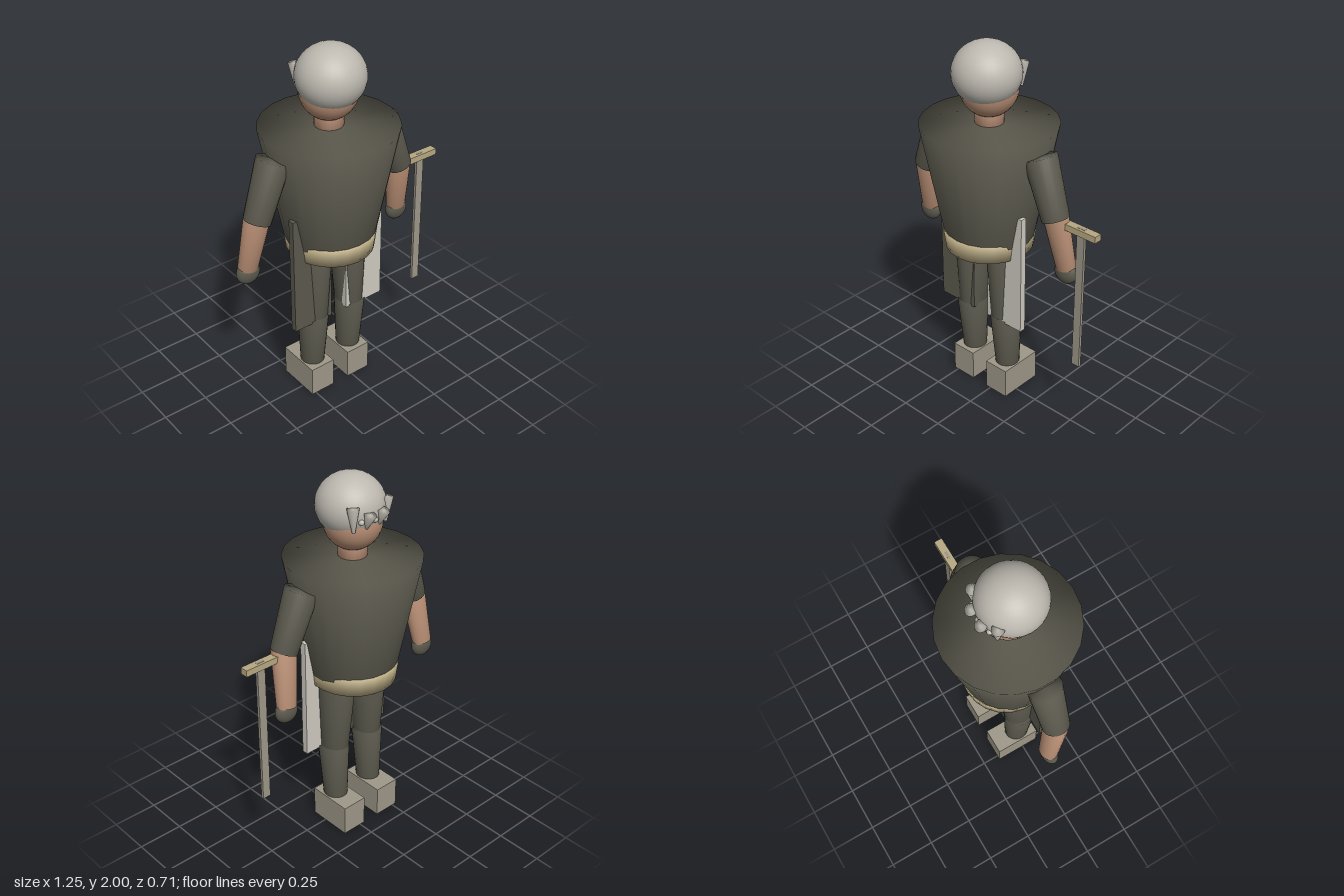
import * as THREE from 'three';
import { mergeVertices } from 'three/addons/utils/BufferGeometryUtils.js';

const CENTRE = -0.08; // middle line of the figure; the cane stands to its left
const material = color => new THREE.MeshStandardMaterial({ color });
const cloth = material(0x5c5a4e);
const skin = material(0xb98f75);
const tan = material(0xb8a982);
const leather = material(0x9e9888);
const hair = material(0xbdb9b0);
const pale = material(0xd0ccc2);

export function createModel() {
  const root = new THREE.Group();
  root.name = 'figure';
  const body = new THREE.Group();
  body.name = 'body';
  body.position.x = CENTRE;
  root.add(body);

  const add = (parent, name, geometry, mat, position) => {
    const mesh = new THREE.Mesh(geometry, mat);
    mesh.name = name;
    mesh.position.set(...position);
    parent.add(mesh);
    return mesh;
  };

  // Tapered round part running from point a (radius ra) to point b (radius rb)
  const taper = (name, mat, a, b, ra, rb, { scaleX = 1, scaleZ = 1, sides = 22 } = {}) => {
    const from = new THREE.Vector3(...a), to = new THREE.Vector3(...b);
    const axis = from.clone().sub(to);
    let geometry = new THREE.CylinderGeometry(ra, rb, axis.length(), sides);
    geometry.deleteAttribute('normal');
    geometry.deleteAttribute('uv');
    geometry = mergeVertices(geometry);
    geometry.scale(scaleX, 1, scaleZ);
    geometry.computeVertexNormals();
    const mesh = add(body, name, geometry, mat, from.add(to).multiplyScalar(0.5).toArray());
    mesh.quaternion.setFromUnitVectors(new THREE.Vector3(0, 1, 0), axis.normalize());
    return mesh;
  };

  const ball = (name, mat, position, radii) => {
    const mesh = add(body, name, new THREE.SphereGeometry(1, 32, 20), mat, position);
    mesh.scale.set(...radii);
    return mesh;
  };

  const box = (parent, name, mat, size, position) =>
    add(parent, name, new THREE.BoxGeometry(...size), mat, position);

  // Torso, belt, neck and head
  taper('torso', cloth, [0, 1.575, 0], [0, 0.9, 0], 0.354, 0.226);
  taper('belt', tan, [0, 0.99, 0], [0, 0.885, 0], 0.25, 0.237, { scaleX: 0.96 });
  taper('neck', skin, [0, 1.68, 0], [0, 1.56, 0], 0.074, 0.074);
  ball('head', skin, [0, 1.765, 0], [0.149, 0.155, 0.151]);
  ball('hairCap', hair, [0, 1.837, 0.0165], [0.176, 0.163, 0.176]);

  // Flared hair tufts with small beads between them
  for (const side of [-1, 1]) {
    taper('outerTuft', hair, [side * 0.112, 1.885, -0.12], [side * 0.105, 1.76, -0.118], 0.031, 0.008, { sides: 16 });
    taper('innerTuft', hair, [side * 0.044, 1.848, -0.168], [side * 0.042, 1.772, -0.138], 0.031, 0.008, { sides: 16 });
    ball('hairBead', hair, [side * 0.075, 1.81, -0.14], [0.015, 0.015, 0.015]);
  }
  ball('hairBead', hair, [0, 1.81, -0.155], [0.015, 0.015, 0.015]);

  // Limbs and coat panels, mirrored about the middle line
  for (const side of [-1, 1]) {
    const label = side > 0 ? 'left' : 'right';

    taper(label + 'UpperArm', cloth, [side * 0.333, 1.493, 0], [side * 0.446, 1.195, 0.008], 0.087, 0.071);
    taper(label + 'Forearm', skin, [side * 0.448, 1.205, 0.008], [side * 0.481, 0.91, -0.042], 0.071, 0.056, { scaleZ: 0.82 });
    ball(label + 'Hand', cloth, [side * 0.483, 0.885, -0.04], [0.066, 0.066, 0.042]);

    taper(label + 'Thigh', cloth, [side * 0.11, 0.93, 0], [side * 0.117, 0.487, 0.008], 0.097, 0.071, { scaleZ: 1.18 });
    taper(label + 'Shin', cloth, [side * 0.122, 0.487, 0.01], [side * 0.122, 0.16, -0.005], 0.082, 0.063, { scaleZ: 1.07 });
    box(body, label + 'Boot', leather, [0.144, 0.17, 0.25], [side * 0.122, 0.085, -0.035]);

    box(body, label + 'CoatPanel', side > 0 ? pale : cloth, [0.235, 0.675, 0.035], [side * 0.1665, 0.8125, 0.058]);
  }

  // Cane
  const cane = new THREE.Group();
  cane.name = 'cane';
  cane.position.x = 0.523;
  root.add(cane);
  box(cane, 'caneShaft', leather, [0.046, 0.816, 0.016], [0, 0.793, 0]);
  box(cane, 'caneHandle', tan, [0.198, 0.035, 0.044], [0, 1.1825, 0]);

  return root;
}
